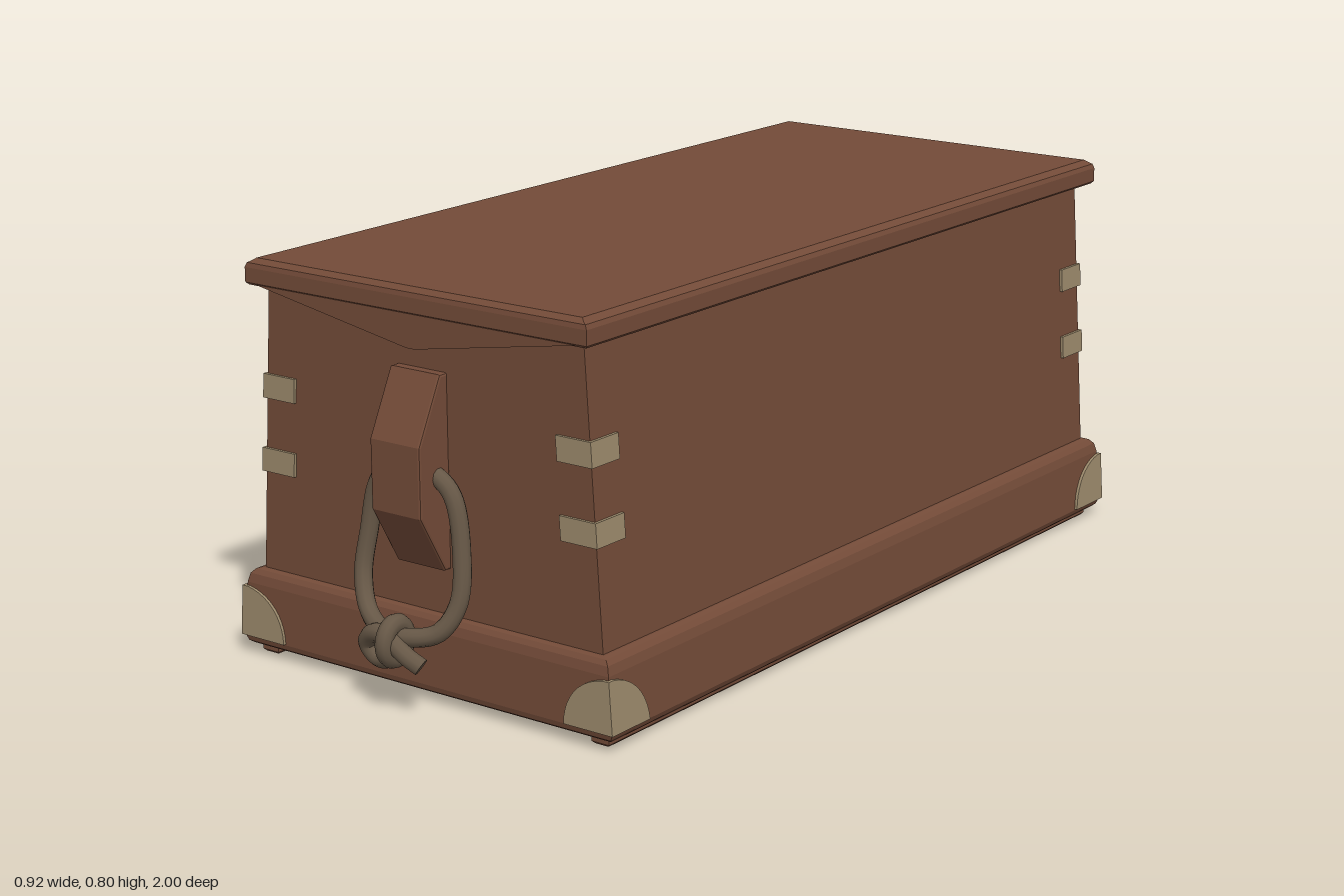
import * as THREE from 'three';

const wood = new THREE.MeshStandardMaterial({ color: 0x734b38 });
wood.name = 'brown wood';
const brass = new THREE.MeshStandardMaterial({ color: 0x9c8a6c, side: THREE.DoubleSide });
brass.name = 'dull brass';
const rope = new THREE.MeshStandardMaterial({ color: 0x675847 });
rope.name = 'old rope';

function add(parent, name, geometry, material) {
  const mesh = new THREE.Mesh(geometry, material);
  mesh.name = name;
  parent.add(mesh);
  return mesh;
}

// Closed block from stacked rectangles, each [y, half width, half length]
function stack(rings) {
  const corners = rings.map(([y, hx, hz]) =>
    [[hx, y, hz], [hx, y, -hz], [-hx, y, -hz], [-hx, y, hz]]);
  const pos = [];
  const quad = (a, b, c, d) => [a, b, c, a, c, d].forEach((p) => pos.push(...p));
  for (let r = 0; r < rings.length - 1; r++) {
    const lo = corners[r], hi = corners[r + 1];
    for (let i = 0; i < 4; i++) {
      const j = (i + 1) % 4;
      quad(lo[i], lo[j], hi[j], hi[i]);
    }
  }
  quad(...corners[rings.length - 1]);
  quad(...[...corners[0]].reverse());
  const g = new THREE.BufferGeometry();
  g.setAttribute('position', new THREE.Float32BufferAttribute(pos, 3));
  g.computeVertexNormals();
  return g;
}

const bodyHalf = (y) => 0.415 - (y - 0.175) * 0.0645;
const baseHalf = (y) => 0.452 - (y - 0.035) * 0.07;

// Thin fitting folded round all four corners; shape is (distance from corner, y)
function cornerFitting(parent, name, shape, halfWidth, halfLength) {
  const t = 0.006;
  for (const sx of [1, -1]) for (const sz of [1, -1]) for (const onEnd of [true, false]) {
    const g = new THREE.ExtrudeGeometry(shape, { depth: t, bevelEnabled: false, curveSegments: 10 });
    const p = g.attributes.position;
    for (let i = 0; i < p.count; i++) {
      const u = p.getX(i), y = p.getY(i), layer = p.getZ(i);
      const x = halfWidth(y) + (onEnd ? t - u : layer);
      const z = halfLength + (onEnd ? layer : t - u);
      p.setXYZ(i, sx * x, y, sz * z);
    }
    g.computeVertexNormals();
    add(parent, name, g, brass);
  }
}

function rectangle(w, y0, y1) {
  return new THREE.Shape([[0, y0], [w, y0], [w, y1], [0, y1]].map((p) => new THREE.Vector2(...p)));
}

function ropeTube(points, closed, segments) {
  const curve = new THREE.CatmullRomCurve3(points.map((p) => new THREE.Vector3(...p)), closed);
  return new THREE.TubeGeometry(curve, segments, 0.018, 10, closed);
}

function createHandle() {
  const handle = new THREE.Group();
  handle.name = 'endHandle';

  // Wooden bracket with a hole for the rope
  const side = new THREE.Shape([[0.855, 0.265], [0.872, 0.265], [0.938, 0.38], [0.938, 0.515],
    [0.877, 0.64], [0.855, 0.64]].map((p) => new THREE.Vector2(...p)));
  const hole = new THREE.Path();
  hole.absarc(0.885, 0.46, 0.023, 0, Math.PI * 2, true);
  side.holes.push(hole);
  const b = 0.005;
  const bracket = new THREE.ExtrudeGeometry(side, {
    depth: 0.12 - 2 * b, bevelSize: b, bevelThickness: b, bevelOffset: -b, bevelSegments: 2, curveSegments: 10,
  });
  bracket.translate(0, 0, -0.06 + b);
  bracket.rotateY(-Math.PI / 2);
  add(handle, 'handleBracket', bracket, wood);

  // Rope loop threaded through the bracket
  add(handle, 'ropeLoop', ropeTube([
    [0, 0.46, 0.885], [-0.06, 0.447, 0.885], [-0.095, 0.41, 0.882], [-0.115, 0.32, 0.885],
    [-0.12, 0.235, 0.9], [-0.09, 0.175, 0.922], [-0.03, 0.15, 0.945], [0.03, 0.15, 0.945],
    [0.085, 0.165, 0.925], [0.113, 0.22, 0.9], [0.11, 0.32, 0.885], [0.09, 0.415, 0.882],
    [0.06, 0.447, 0.885],
  ], true, 80), rope);

  // Knot: a side turn, a wrap and a loose tail
  add(handle, 'knotTurn', ropeTube([
    [0, 0.15, 0.965], [-0.045, 0.148, 0.96], [-0.068, 0.12, 0.95], [-0.045, 0.095, 0.945], [0, 0.112, 0.95],
  ], true, 40), rope);
  const wrap = add(handle, 'knotWrap', new THREE.TorusGeometry(0.03, 0.018, 10, 24), rope);
  wrap.scale.y = 1.1;
  wrap.rotation.y = Math.PI / 2;
  wrap.position.set(0.002, 0.14, 0.952);
  add(handle, 'knotTail', ropeTube([
    [-0.03, 0.155, 0.94], [0.01, 0.142, 0.965], [0.04, 0.122, 0.965], [0.067, 0.103, 0.955],
  ], false, 16), rope);
  const end = add(handle, 'tailEnd', new THREE.CircleGeometry(0.018, 10), rope);
  end.position.set(0.067, 0.103, 0.955);
  end.lookAt(0.094, 0.084, 0.945);
  return handle;
}

export function createModel() {
  const chest = new THREE.Group();
  chest.name = 'seaChest';

  // Tapered body and rounded skirting
  add(chest, 'body', stack([[0.1, bodyHalf(0.1), 0.858], [0.76, bodyHalf(0.76), 0.858]]), wood);
  add(chest, 'baseSkirt', stack([
    [0.018, 0.44, 0.87], [0.024, 0.447, 0.879], [0.035, 0.452, 0.882], [0.145, 0.444, 0.88],
    [0.163, 0.439, 0.876], [0.172, 0.43, 0.869], [0.175, 0.42, 0.862],
  ]), wood);

  // Lid with softened edges and a pointed cleat at each end
  add(chest, 'lid', stack([
    [0.744, 0.404, 0.884], [0.749, 0.409, 0.889], [0.778, 0.409, 0.889], [0.787, 0.405, 0.887],
    [0.791, 0.397, 0.882], [0.796, 0.39, 0.876],
  ]), wood);
  const cleatShape = new THREE.Shape([[-0.385, 0.747], [-0.01, 0.682], [0.01, 0.682], [0.385, 0.747]]
    .map((p) => new THREE.Vector2(...p)));
  for (const z of [0.854, -0.888]) {
    const cleat = new THREE.ExtrudeGeometry(cleatShape, { depth: 0.034, bevelEnabled: false });
    add(chest, 'lidCleat', cleat, wood).position.z = z;
  }

  // Skids under the chest
  for (const x of [0.408, -0.408]) {
    add(chest, 'skid', stack([[0, 0.015, 0.855], [0.005, 0.02, 0.86], [0.022, 0.02, 0.86]]), wood).position.x = x;
  }

  // Corner fittings
  cornerFitting(chest, 'upperCornerStrap', rectangle(0.08, 0.52, 0.568), bodyHalf, 0.858);
  cornerFitting(chest, 'lowerCornerStrap', rectangle(0.083, 0.373, 0.42), bodyHalf, 0.858);
  const quarter = new THREE.Shape();
  quarter.moveTo(0, 0.037);
  quarter.lineTo(0.112, 0.037);
  quarter.bezierCurveTo(0.108, 0.09, 0.07, 0.13, 0.015, 0.139);
  quarter.lineTo(0, 0.139);
  cornerFitting(chest, 'baseCornerPlate', quarter, baseHalf, 0.882);

  // Rope handles at both ends
  const front = createHandle();
  const back = createHandle();
  back.rotation.y = Math.PI;
  chest.add(front, back);
  return chest;
}
